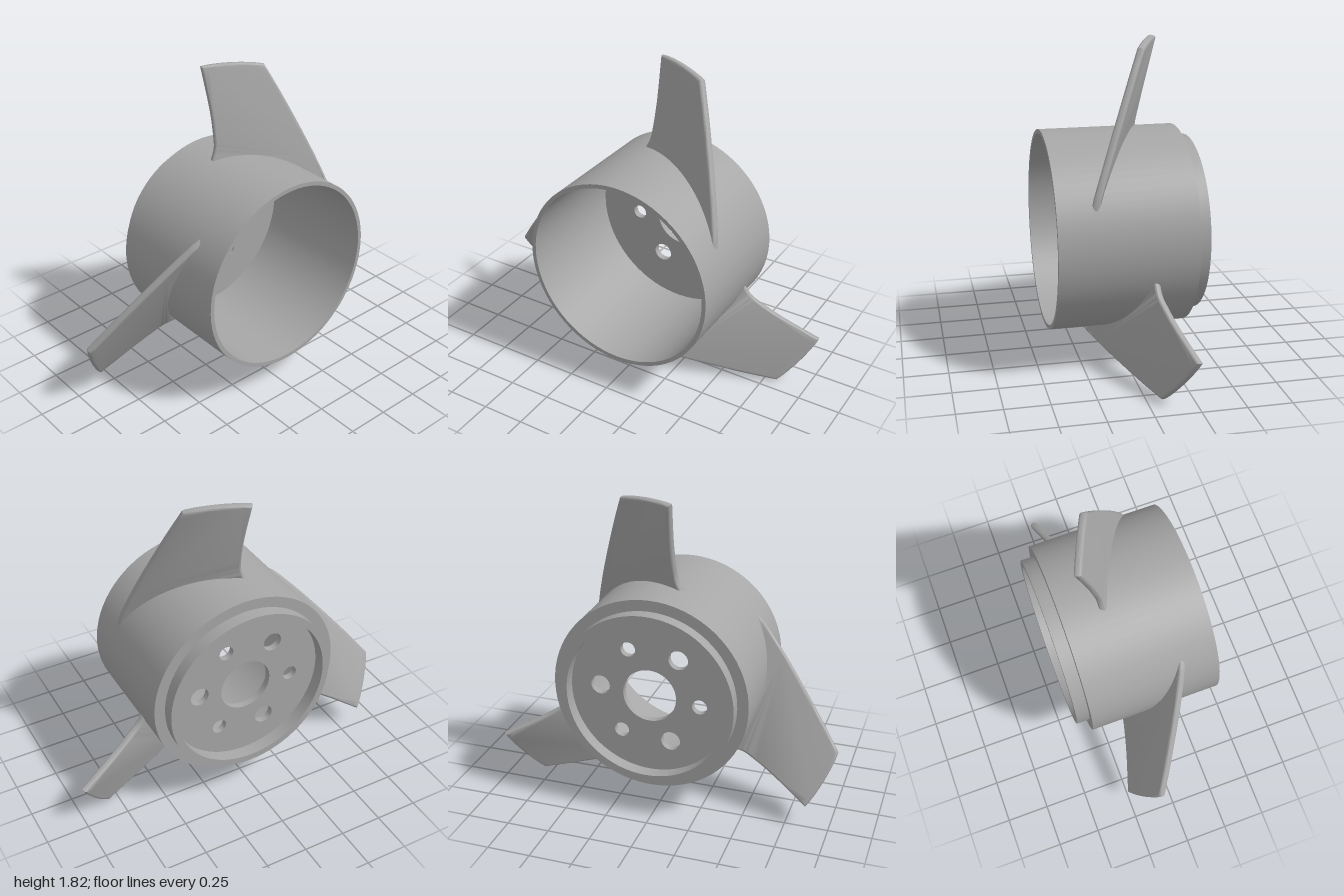
import * as THREE from 'three';
import { toCreasedNormals } from 'three/addons/utils/BufferGeometryUtils.js';

const CENTER_Y = 0.737, CENTER_Z = -0.027; // rotor axis, parallel to x
const HUB_R = 0.571, BORE_R = 0.547;
const PITCH = 0.49; // blade slope, x per unit of height

const rad = THREE.MathUtils.degToRad;

// point in the (z, y) plane at a radius and an angle in degrees
const polar = (r, deg) => new THREE.Vector2(-r * Math.cos(rad(deg)), r * Math.sin(rad(deg)));

// lays a flat shape across the axis, leaning by the given slope
function leanMatrix(slope) {
  const z = new THREE.Vector3(0, 0, 1);
  const up = new THREE.Vector3(slope, 1, 0).normalize();
  return new THREE.Matrix4().makeBasis(z, up, z.clone().cross(up));
}

// stepped, open-ended drum
function hubGeometry() {
  const profile = [
    [0.467, -0.35], [0.467, -0.427], [0.507, -0.427], [0.507, -0.352],
    [HUB_R, -0.352], [HUB_R, 0.424], [BORE_R, 0.424], [BORE_R, -0.32],
  ].map(([r, h]) => new THREE.Vector2(r, h));
  const geo = new THREE.LatheGeometry(profile, 72);
  geo.rotateZ(-Math.PI / 2);
  return toCreasedNormals(geo, 0.6);
}

// end plate with a central bore and six alternating bolt holes
function plateGeometry() {
  const shape = new THREE.Shape().absarc(0, 0, 0.555, 0, Math.PI * 2);
  const addHole = (p, r) => shape.holes.push(new THREE.Path().absarc(p.x, p.y, r, 0, Math.PI * 2, true));
  addHole(new THREE.Vector2(), 0.156);
  for (let i = 0; i < 6; i++) addHole(polar(0.293, 5 + i * 60), i % 2 ? 0.043 : 0.056);
  const geo = new THREE.ExtrudeGeometry(shape, { depth: 0.04, bevelEnabled: false, curveSegments: 24 });
  geo.applyMatrix4(leanMatrix(0)).translate(-0.31, 0, 0);
  return toCreasedNormals(geo, 0.6);
}

// flat, pitched blade with rounded edges
function bladeGeometry() {
  const stretch = Math.hypot(1, PITCH);
  const toPlane = ([r, deg]) => {
    const p = polar(r, deg + 120);
    return new THREE.Vector2(p.x, p.y * stretch);
  };
  const arc = (r, a, b, n) =>
    Array.from({ length: n - 1 }, (_, i) => toPlane([r, a + (b - a) * (i + 1) / n]));
  const spline = (list) => new THREE.SplineCurve(list.map(toPlane)).getPoints(20);

  const leading = spline([[0.54, 104], [0.57, 101.7], [0.62, 98.5], [0.68, 97], [0.84, 95.3], [1.08, 94.7]]);
  const trailing = spline([[1.08, 77], [0.912, 69.2], [0.71, 53], [0.605, 35], [0.575, 27], [0.545, 19]]);
  const outline = [...leading, ...arc(1.082, 94.7, 77, 8), ...trailing, ...arc(0.54, 19, 104, 16)];

  const bevel = 0.014, core = 0.014;
  const geo = new THREE.ExtrudeGeometry(new THREE.Shape(outline), {
    depth: core, bevelEnabled: true, bevelThickness: bevel, bevelSize: bevel,
    bevelOffset: -bevel, bevelSegments: 4,
  });
  geo.translate(0, 0, -core / 2).applyMatrix4(leanMatrix(PITCH)).translate(0.064, 0, 0);

  // keep the root buried inside the drum wall
  const pos = geo.attributes.position;
  for (let i = 0; i < pos.count; i++) {
    const y = pos.getY(i), z = pos.getZ(i), r = Math.hypot(y, z);
    if (r < 0.559) pos.setXYZ(i, pos.getX(i), y * 0.559 / r, z * 0.559 / r);
  }
  return toCreasedNormals(geo, 0.7);
}

export function createModel() {
  const grey = new THREE.MeshStandardMaterial({ color: 0xa6a6a6 });
  grey.name = 'grey';

  const rotor = new THREE.Group();
  rotor.name = 'rotor';
  rotor.position.set(0, CENTER_Y, CENTER_Z);

  const add = (name, geo) => {
    const mesh = new THREE.Mesh(geo, grey);
    mesh.name = name;
    rotor.add(mesh);
    return mesh;
  };

  add('hub', hubGeometry());
  add('endPlate', plateGeometry());

  const blade = bladeGeometry();
  for (let i = 0; i < 3; i++) add(`blade${i + 1}`, blade).rotation.x = i * Math.PI * 2 / 3;

  const model = new THREE.Group();
  model.name = 'ductedImpeller';
  model.add(rotor);
  return model;
}
